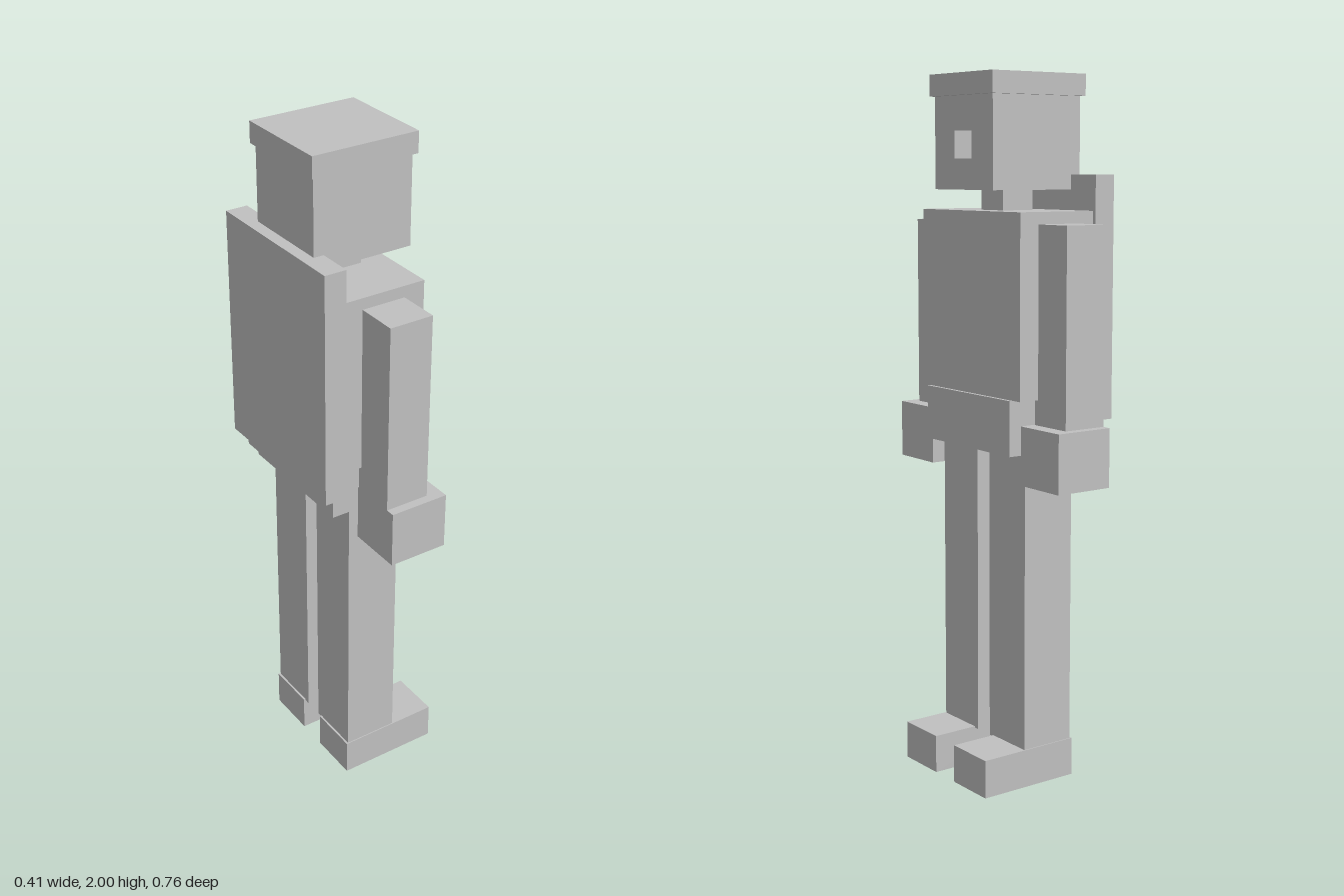
import * as THREE from 'three';

export function createModel() {
  const model = new THREE.Group();
  model.name = 'blockFigure';

  const grey = new THREE.MeshStandardMaterial({ color: 0xc0c0c0 });
  grey.name = 'light grey';

  // Box given by its [min, max] extent on each axis
  function block(name, [x0, x1], [y0, y1], [z0, z1], parent = model) {
    const mesh = new THREE.Mesh(new THREE.BoxGeometry(x1 - x0, y1 - y0, z1 - z0), grey);
    mesh.position.set((x0 + x1) / 2, (y0 + y1) / 2, (z0 + z1) / 2);
    mesh.name = name;
    parent.add(mesh);
  }

  // Head
  const head = new THREE.Group();
  head.name = 'head';
  model.add(head);
  block('cap', [-0.179, 0.141], [1.94, 2], [-0.15, 0.147], head);
  block('face', [-0.17, 0.13], [1.684, 1.94], [-0.137, 0.137], head);
  block('nose', [0.13, 0.186], [1.769, 1.843], [-0.038, 0.037], head);
  block('neck', [-0.07, 0.032], [1.627, 1.684], [-0.051, 0.052], head);

  // Body
  block('torso', [-0.14, 0.11], [1.118, 1.627], [-0.233, 0.23]);
  block('backPanel', [-0.205, -0.14], [1.045, 1.725], [-0.244, 0.241]);
  block('hips', [-0.154, 0.12], [0.963, 1.118], [-0.199, 0.199]);

  // Limbs, mirrored across z
  for (const [side, s] of [['near', 1], ['far', -1]]) {
    const span = (inner, outer) => [s * inner, s * outer].sort((a, b) => a - b);
    block(side + 'Arm', [-0.083, 0.048], [1.048, 1.594], span(0.219, 0.354));
    block(side + 'Hand', [-0.083, 0.093], [0.883, 1.048], span(0.215, 0.381));
    block(side + 'Leg', [-0.1, 0.064], [0.106, 0.963], span(0.029, 0.196));
    block(side + 'Foot', [-0.106, 0.203], [0, 0.11], span(0.046, 0.199));
  }

  return model;
}
